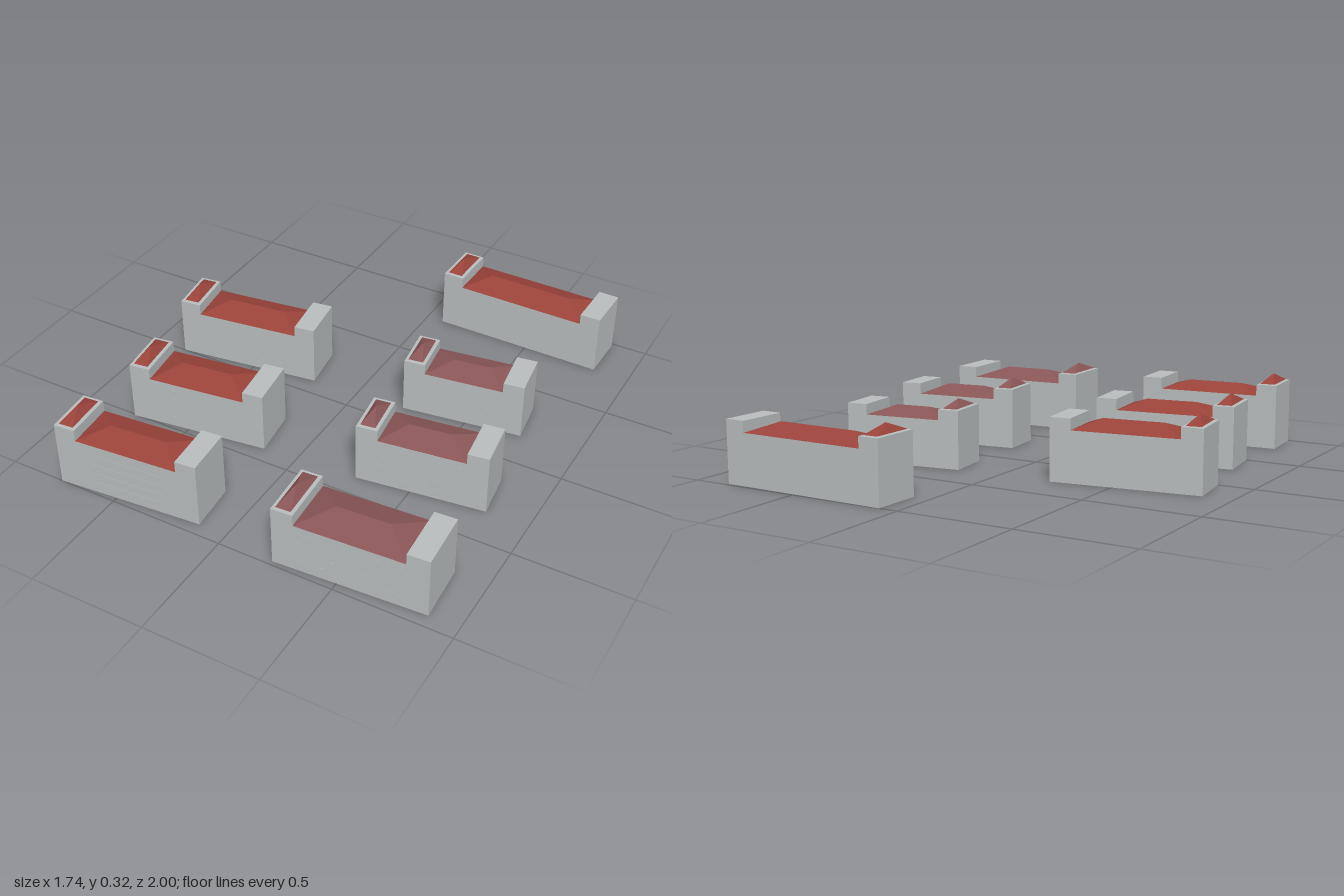
import * as THREE from 'three';

const wallGrey = new THREE.MeshStandardMaterial({ color: 0xb9bdbd, side: THREE.DoubleSide });
wallGrey.name = 'wall grey';
const roofRed = new THREE.MeshStandardMaterial({ color: 0x9a433a, side: THREE.DoubleSide });
roofRed.name = 'roof red';
const roofMauve = new THREE.MeshStandardMaterial({ color: 0x8a5657, side: THREE.DoubleSide });
roofMauve.name = 'roof mauve';

// Box standing on y = 0 that keeps only the listed faces (0 +x, 1 -x, 2 +y, 3 -y, 4 +z, 5 -z)
function shell(w, h, d, faces) {
  const g = new THREE.BoxGeometry(w, h, d).translate(0, h / 2, 0);
  const index = Array.from(g.index.array);
  g.clearGroups();
  g.setIndex(faces.flatMap(f => index.slice(f * 6, f * 6 + 6)));
  return g;
}

// Hipped roof surface; ridge runs along x, and a ridge of 0 makes a pyramid
function hipRoof(w, d, h, ridge) {
  const x = w / 2, z = d / 2, r = ridge / 2;
  const a = [-x, 0, z], b = [x, 0, z], c = [x, 0, -z], e = [-x, 0, -z];
  const p = [-r, h, 0], q = [r, h, 0];
  const tris = [b, c, q, e, a, p, a, b, p, c, e, q];
  if (r > 0) tris.push(b, q, p, e, p, q);
  const g = new THREE.BufferGeometry();
  g.setAttribute('position', new THREE.Float32BufferAttribute(tris.flat(), 3));
  g.computeVertexNormals();
  return g;
}

function add(parent, name, geometry, material, x = 0, y = 0, z = 0) {
  const m = new THREE.Mesh(geometry, material);
  m.name = name;
  m.position.set(x, y, z);
  parent.add(m);
}

// One block: roofed tower at -x, hipped main wing, flat tower at +x
function building({ x, z, len, wid, slope, tr, tl, top, peak, eave, ridge, roof, strips }) {
  const g = new THREE.Group();
  g.name = 'building';
  g.position.set(x, 0, z);
  g.rotation.y = -Math.atan(slope);
  const mainLen = len - tr - tl, mainX = (tr - tl) / 2;
  const rx = -len / 2 + tr / 2, lx = len / 2 - tl / 2;

  // End towers; the small pyramid roof sits inside the tower edge
  add(g, 'roofedTower', shell(tr, top, wid, [0, 1, 2, 4, 5]), wallGrey, rx);
  add(g, 'flatTower', shell(tl, top, wid, [0, 1, 2, 3, 4, 5]), wallGrey, lx);
  add(g, 'towerRoof', hipRoof(tr - 0.028, wid - 0.028, peak - top - 0.003, 0), roof, rx, top + 0.003);

  // Main wing
  add(g, 'mainWalls', shell(mainLen, eave, wid, [3, 4, 5]), wallGrey, mainX);
  add(g, 'mainRoof', hipRoof(mainLen, wid, ridge - eave, Math.max(0.12, mainLen - wid * 0.95)), roof, mainX, eave);

  // Rows of small window ledges on both long sides
  for (const side of [1, -1]) {
    const long = strips && side > 0;
    const n = long ? 1 : Math.round(mainLen / 0.045);
    const w = long ? mainLen * 0.7 : 0.014;
    for (let row = 0; row < 4; row++) {
      for (let i = 0; i < n; i++) {
        add(g, 'windowLedge', new THREE.BoxGeometry(w, 0.003, 0.002), wallGrey,
          mainX + ((i + 0.5) / n - 0.5) * mainLen, 0.05 + row * 0.045, side * wid / 2);
      }
    }
  }
  return g;
}

export function createModel() {
  const model = new THREE.Group();
  model.name = 'housingBlocks';
  const base = { tr: 0.092, tl: 0.09, top: 0.265, peak: 0.305, eave: 0.217, ridge: 0.257, roof: roofRed };
  const blocks = [
    { x: 0.461, z: -0.885, len: 0.761, wid: 0.215, slope: 0.02 },
    { x: -0.541, z: -0.147, len: 0.64, wid: 0.21, slope: -0.133 },
    { x: -0.468, z: 0.358, len: 0.61, wid: 0.22, slope: -0.131 },
    { x: -0.45, z: 0.866, len: 0.634, wid: 0.214, slope: -0.085, top: 0.285, peak: 0.325, eave: 0.235, ridge: 0.27, strips: true },
    { x: 0.47, z: -0.238, len: 0.525, wid: 0.202, slope: -0.135, top: 0.25, peak: 0.286, eave: 0.205, ridge: 0.24, roof: roofMauve },
    { x: 0.53, z: 0.265, len: 0.554, wid: 0.204, slope: -0.128, roof: roofMauve },
    { x: 0.544, z: 0.838, len: 0.643, wid: 0.25, slope: -0.058, tl: 0.094, ridge: 0.26, roof: roofMauve },
  ];
  for (const b of blocks) model.add(building({ ...base, ...b }));
  return model;
}
